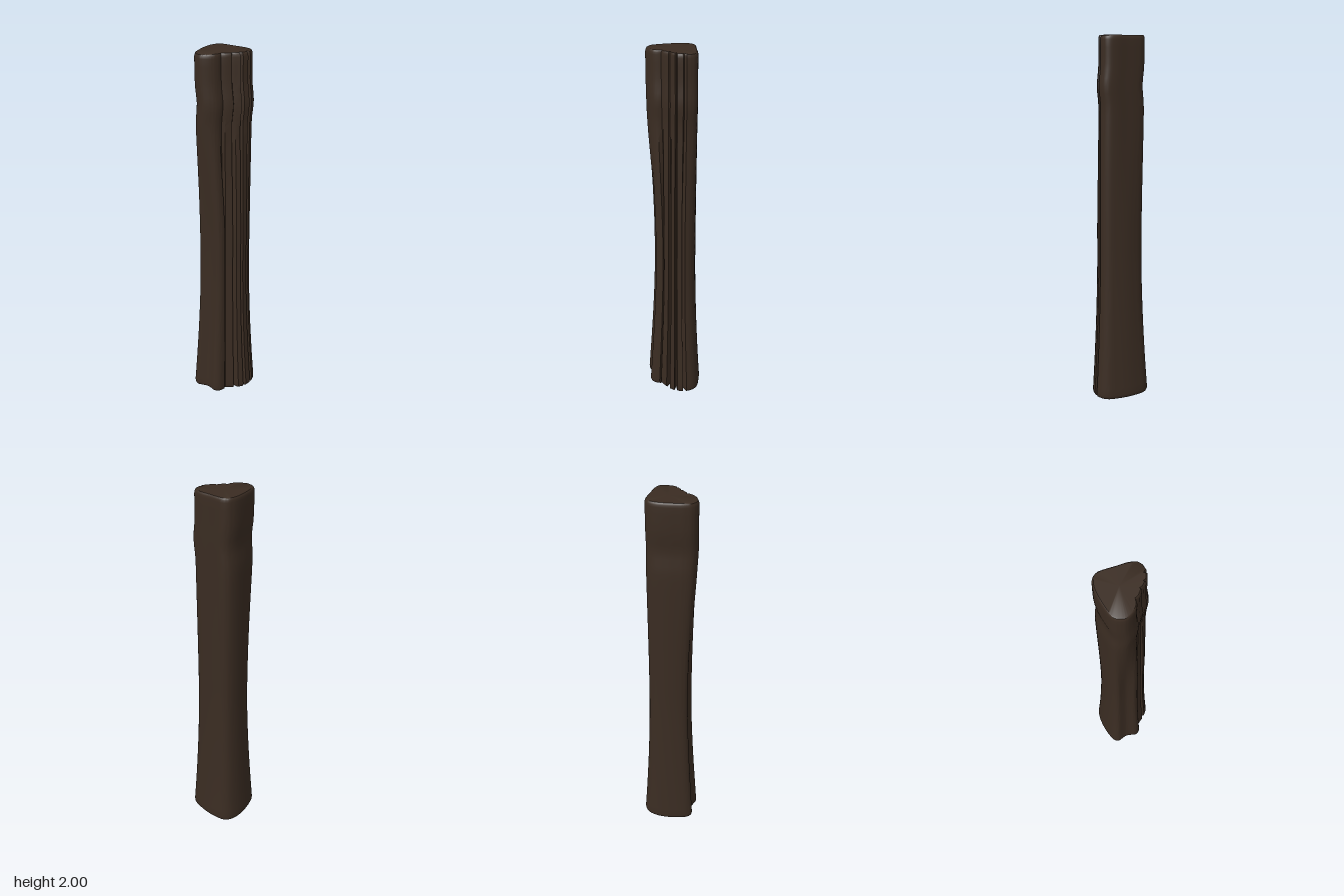
import * as THREE from 'three';
import { toCreasedNormals } from 'three/addons/utils/BufferGeometryUtils.js';

// Outlines as [x, z]: smooth body of the shaft, then the grooved corner, at the foot and at the top
const bodyFoot = [[.062, .098], [.048, .132], [.02, .147], [-.012, .138], [-.04, .132], [-.07, .138], [-.105, .145],
  [-.13, .125], [-.15, .07], [-.161, 0], [-.16, -.06], [-.142, -.115], [-.11, -.142], [-.06, -.15], [0, -.15],
  [.07, -.138], [.125, -.12], [.152, -.09], [.161, -.055]];
const bodyTop = [[.022, .09], [.012, .108], [-.003, .122], [-.025, .135], [-.05, .143], [-.075, .138], [-.1, .122],
  [-.115, .09], [-.123, .05], [-.13, 0], [-.13, -.06], [-.116, -.098], [-.09, -.117], [-.055, -.119], [0, -.115],
  [.06, -.112], [.1, -.1], [.116, -.08], [.122, -.048]];
const groovesFoot = [[.118, -.036], [.161, -.033], [.153, 0], [.11, .003], [.145, .018], [.125, .042],
  [.075, .036], [.103, .06], [.06, .088], [.024, .065]];
const groovesTop = [[.112, -.037], [.12, -.03], [.108, -.002], [.092, .001], [.098, .008], [.08, .025],
  [.063, .03], [.066, .038], [.042, .064], [.024, .07]];

// Smooth curve through the body, straight facets through the grooves
function outline(body, grooves) {
  const curve = new THREE.CatmullRomCurve3(body.map(([x, z]) => new THREE.Vector3(x, 0, z)), false, 'centripetal');
  const smooth = curve.getPoints((body.length - 1) * 4).map((p) => [p.x, p.z]);
  return [...smooth, ...grooves];
}

const foot = outline(bodyFoot, groovesFoot);
const top = outline(bodyTop, groovesTop);
const centre = [-.02, -.015];

// Cross-section at a height: flared foot, slim waist, fuller top with a slight sideways kink
function section(y, inset) {
  const flare = .78 + .22 * Math.pow(Math.max(0, 1 - y / .85), 1.7);
  const blend = THREE.MathUtils.smoothstep(y, .9, 1.8);
  const kink = .011 * Math.exp(-(((y - 1.74) / .07) ** 2));
  const frontSlim = 1 - .08 * THREE.MathUtils.smoothstep(y, 0, .85);
  return foot.map(([fx, fz], i) => {
    const x = THREE.MathUtils.lerp(fx * flare, top[i][0], blend);
    const z = THREE.MathUtils.lerp(fz * flare * (fz > 0 ? frontSlim : 1), top[i][1], blend);
    return [
      centre[0] + (x - centre[0]) * inset + kink, y,
      centre[1] + (z - centre[1]) * inset,
    ];
  });
}

function loft(rings) {
  const n = rings[0].length;
  const last = (rings.length - 1) * n;
  const points = rings.flat();
  const index = [];
  for (let r = 0; r < rings.length - 1; r++) {
    for (let i = 0; i < n; i++) {
      const a = r * n + i, b = r * n + (i + 1) % n;
      index.push(a, a + n, b, b, a + n, b + n);
    }
  }
  // Flat end caps
  const low = points.length, high = low + 1;
  points.push([centre[0], rings[0][0][1], centre[1]]);
  points.push([centre[0], rings[rings.length - 1][0][1], centre[1]]);
  for (let i = 0; i < n; i++) {
    const j = (i + 1) % n;
    index.push(low, i, j, high, last + j, last + i);
  }
  const geometry = new THREE.BufferGeometry();
  geometry.setAttribute('position', new THREE.Float32BufferAttribute(points.flat(), 3));
  geometry.setIndex(index);
  return toCreasedNormals(geometry, .6);
}

export function createModel() {
  const group = new THREE.Group();
  group.name = 'woodenPost';

  // Rounded rims at both ends, even rings between
  const rings = [section(0, .93), section(.004, .965), section(.012, .99), section(.022, 1)];
  for (let i = 1; i < 50; i++) rings.push(section(.022 + i * .0391, 1));
  rings.push(section(1.978, 1), section(1.989, .99), section(1.997, .965), section(2, .93));

  const material = new THREE.MeshStandardMaterial({ color: 0x3a2c22 });
  const shaft = new THREE.Mesh(loft(rings), material);
  shaft.name = 'groovedShaft';
  group.add(shaft);
  return group;
}
